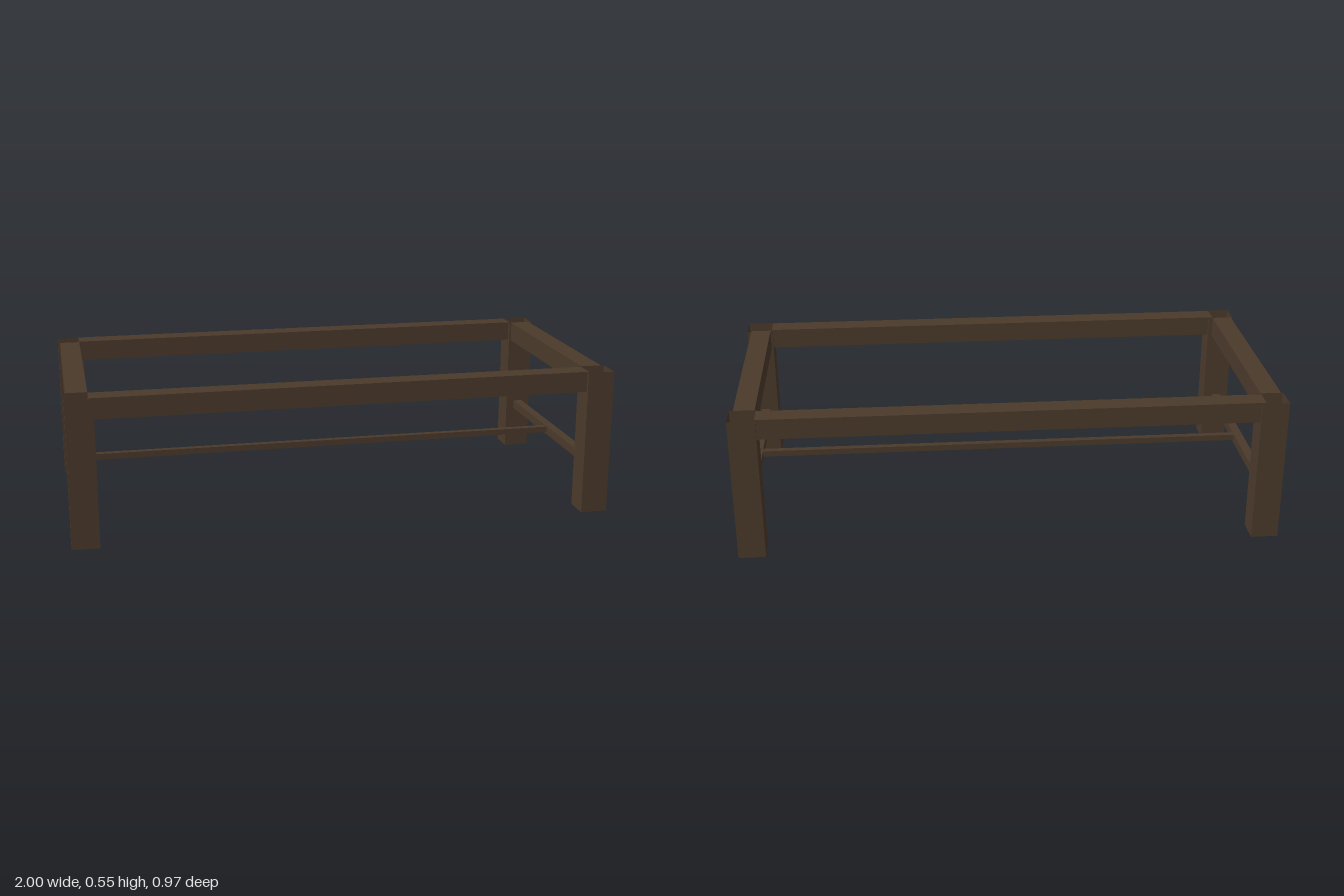
import * as THREE from 'three';

export function createModel() {
  const group = new THREE.Group();
  const darkWood = new THREE.MeshStandardMaterial({ color: 0x4b3a2b, side: THREE.DoubleSide });
  darkWood.name = 'darkWood';

  const add = (name, geometry) => {
    const mesh = new THREE.Mesh(geometry, darkWood);
    mesh.name = name;
    group.add(mesh);
  };

  // Solid bar given by its limits on each axis
  const bar = (name, [x0, x1], [y0, y1], [z0, z1]) => add(name,
    new THREE.BoxGeometry(x1 - x0, y1 - y0, z1 - z0)
      .translate((x0 + x1) / 2, (y0 + y1) / 2, (z0 + z1) / 2));

  // Hollow square legs, open at the top and bottom
  const legHeight = 0.544, legX = 0.1, legZ = 0.098;
  for (const [sx, side] of [[1, 'Left'], [-1, 'Right']]) {
    for (const [sz, end] of [[1, 'front'], [-1, 'back']]) {
      const leg = new THREE.CylinderGeometry(Math.SQRT1_2, Math.SQRT1_2, legHeight, 4, 1, true)
        .rotateY(Math.PI / 4)
        .scale(legX, 1, legZ)
        .toNonIndexed();
      leg.computeVertexNormals();
      leg.translate(sx * (1 - legX / 2), legHeight / 2, sz * (0.487 - legZ / 2));
      add(`${end}${side}Leg`, leg);
    }
  }

  // Top frame rails
  const railY = [0.47, 0.546];
  bar('frontRail', [-0.916, 0.904], railY, [0.4, 0.477]);
  bar('backRail', [-0.916, 0.904], railY, [-0.48, -0.403]);
  bar('leftRail', [0.908, 0.985], railY, [-0.395, 0.393]);
  bar('rightRail', [-0.992, -0.916], railY, [-0.395, 0.393]);

  // Low stretchers: one across each end, one thin bar joining them
  bar('leftStretcher', [0.933, 0.967], [0.166, 0.2], [-0.392, 0.392]);
  bar('rightStretcher', [-0.967, -0.933], [0.166, 0.2], [-0.392, 0.392]);
  bar('centreStretcher', [-0.935, 0.935], [0.175, 0.198], [-0.012, 0.012]);

  return group;
}
